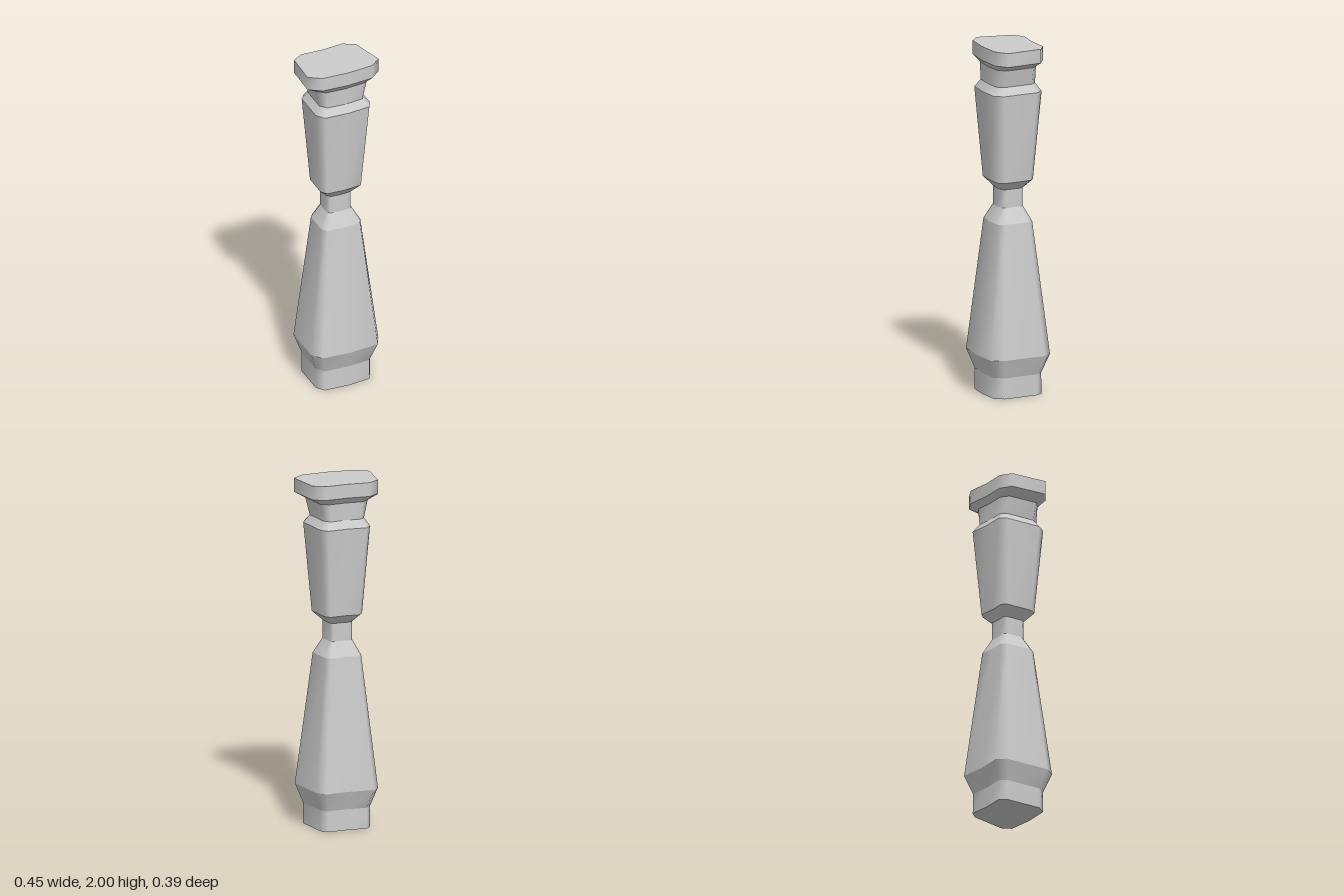
import * as THREE from 'three';

const material = new THREE.MeshStandardMaterial({ color: 0xcccccc });

// Ten-sided section: bowed front, slightly hollow back, chamfered corners.
// w, d = half width and half depth, c = where the front chamfer starts (0..1).
function section([y, w, d, c]) {
  const half = [[0, 0.98], [c, 0.905], [1, 0.575], [0.865, -0.75], [0.82 * c, -1], [0, -0.94]];
  const left = half.slice(1, 5).reverse().map(([x, z]) => [-x, z]);
  return [...half, ...left].map(([x, z]) => [x * w, y, z * d]);
}

// One band between two sections, smooth around and crisp at its rims.
function band(lower, upper) {
  const a = section(lower), b = section(upper), n = a.length, index = [];
  for (let i = 0; i < n; i++) {
    const j = (i + 1) % n;
    index.push(i, j, n + j, i, n + j, n + i);
  }
  return build([...a, ...b], index);
}

// Flat end face, fanned from the centre.
function cap(ring, up) {
  const pts = section(ring), n = pts.length, index = [];
  for (let i = 0; i < n; i++) {
    const j = (i + 1) % n;
    index.push(n, up ? i : j, up ? j : i);
  }
  return build([...pts, [0, ring[0], 0]], index);
}

function build(points, index) {
  const g = new THREE.BufferGeometry();
  g.setAttribute('position', new THREE.Float32BufferAttribute(points.flat(), 3));
  g.setIndex(index);
  g.computeVertexNormals();
  return new THREE.Mesh(g, material);
}

export function createModel() {
  const model = new THREE.Group();
  model.name = 'baluster';

  // Rings per part: [height, half width, half depth, chamfer start]
  const foot = [0, 0.173, 0.157, 0.82];
  const footTop = [0.12, 0.173, 0.155, 0.82];
  const belly = [0.23, 0.214, 0.197, 0.82];
  const shoulder = [0.99, 0.125, 0.114, 0.82];
  const neckLow = [1.075, 0.077, 0.07, 0.82];
  const neckHigh = [1.18, 0.077, 0.07, 0.82];
  const upperLow = [1.23, 0.13, 0.117, 0.82];
  const upperHigh = [1.74, 0.172, 0.158, 0.82];
  const collarLow = [1.785, 0.14, 0.128, 0.8];
  const collarHigh = [1.885, 0.165, 0.13, 0.74];
  const plateLow = [1.92, 0.227, 0.16, 0.7];
  const plateTop = [2, 0.227, 0.16, 0.7];

  const parts = {
    foot: [foot, footTop],
    lowerShaft: [footTop, belly, shoulder, neckLow],
    neck: [neckLow, neckHigh],
    upperShaft: [neckHigh, upperLow, upperHigh, collarLow],
    collar: [collarLow, collarHigh],
    topPlate: [collarHigh, plateLow, plateTop],
  };

  for (const [name, rings] of Object.entries(parts)) {
    const part = new THREE.Group();
    part.name = name;
    for (let i = 0; i + 1 < rings.length; i++) part.add(band(rings[i], rings[i + 1]));
    if (name === 'foot') part.add(cap(foot, false));
    if (name === 'topPlate') part.add(cap(plateTop, true));
    model.add(part);
  }
  return model;
}
